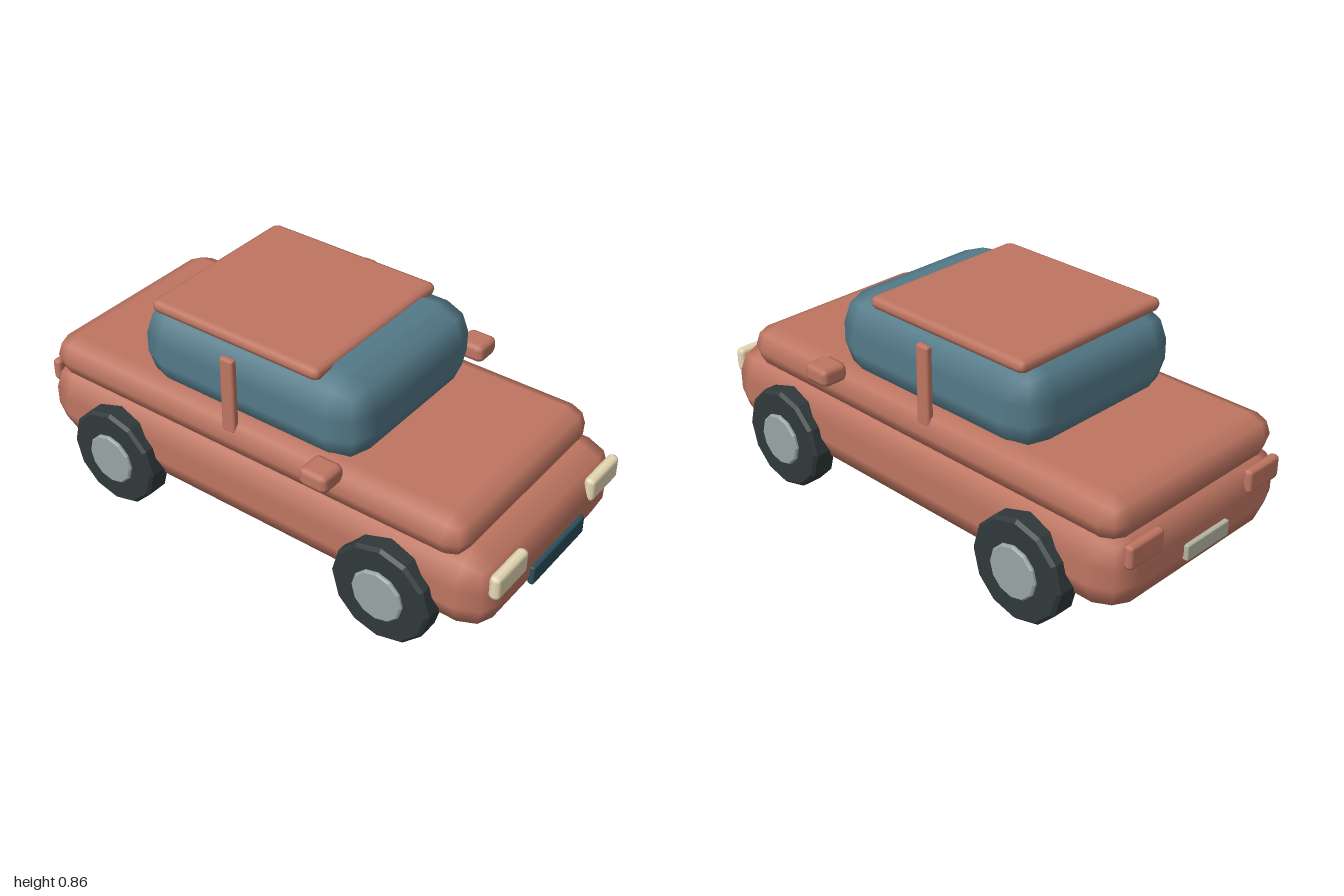
import * as THREE from 'three';
import { RoundedBoxGeometry } from 'three/addons/geometries/RoundedBoxGeometry.js';

const paint = new THREE.MeshStandardMaterial({ color: 0xbe7561 });
const glass = new THREE.MeshStandardMaterial({ color: 0x547a89 });
const rubber = new THREE.MeshStandardMaterial({ color: 0x30393b, flatShading: true });
const metal = new THREE.MeshStandardMaterial({ color: 0x97a5a3, flatShading: true });
const lamp = new THREE.MeshStandardMaterial({ color: 0xe6d9b5 });
const darkPlate = new THREE.MeshStandardMaterial({ color: 0x2a4e5a });
const palePlate = new THREE.MeshStandardMaterial({ color: 0xb5b5a2 });

// Bevelled box given by its limits on each axis
function block(name, [x0, x1], [y0, y1], [z0, z1], radius, material) {
  const geometry = new RoundedBoxGeometry(x1 - x0, y1 - y0, z1 - z0, 1, radius);
  const mesh = new THREE.Mesh(geometry, material);
  mesh.position.set((x0 + x1) / 2, (y0 + y1) / 2, (z0 + z1) / 2);
  mesh.name = name;
  return mesh;
}

// Twelve-sided disc along the x axis, with a small bevel on both rims
function disc(name, radius, width, bevel, material) {
  const h = width / 2;
  const profile = [[0, -h], [radius - bevel, -h], [radius, bevel - h],
    [radius, h - bevel], [radius - bevel, h], [0, h]].map(p => new THREE.Vector2(...p));
  const mesh = new THREE.Mesh(new THREE.LatheGeometry(profile, 12).rotateZ(-Math.PI / 2), material);
  mesh.name = name;
  return mesh;
}

export function createModel() {
  const car = new THREE.Group();
  car.name = 'car';

  // Stacked body shells
  car.add(
    block('lowerBody', [-0.452, 0.452], [0.133, 0.447], [-0.983, 0.983], 0.12, paint),
    block('upperBody', [-0.428, 0.428], [0.392, 0.557], [-0.955, 0.87], 0.08, paint),
    block('cabinGlass', [-0.385, 0.385], [0.5, 0.837], [-0.553, 0.422], 0.13, glass),
    block('roof', [-0.35, 0.35], [0.805, 0.855], [-0.487, 0.243], 0.024, paint),
    block('frontPlate', [-0.17, 0.17], [0.215, 0.29], [0.975, 1], 0.008, darkPlate),
    block('rearPlate', [-0.11, 0.11], [0.235, 0.295], [-1, -0.975], 0.006, palePlate),
  );

  // Mirrored fittings and wheels
  for (const [side, s] of [['left', 1], ['right', -1]]) {
    const span = (a, b) => (s > 0 ? [a, b] : [-b, -a]);
    car.add(
      block(side + 'Pillar', span(0.39, 0.418), [0.5, 0.803], [-0.12, -0.062], 0.01, paint),
      block(side + 'Mirror', span(0.415, 0.525), [0.53, 0.6], [0.293, 0.407], 0.022, paint),
      block(side + 'Headlight', span(0.21, 0.402), [0.31, 0.405], [0.955, 0.998], 0.018, lamp),
      block(side + 'TailLight', span(0.225, 0.392), [0.332, 0.42], [-0.992, -0.955], 0.014, paint),
    );
    for (const [end, z] of [['Front', 0.605], ['Rear', -0.6]]) {
      const wheel = new THREE.Group();
      wheel.name = side + end + 'Wheel';
      const hub = disc('hub', 0.101, 0.04, 0.006, metal);
      hub.position.x = s * 0.045;
      wheel.add(disc('tyre', 0.196, 0.103, 0.012, rubber), hub);
      wheel.position.set(s * 0.446, 0.196, z);
      car.add(wheel);
    }
  }
  return car;
}
